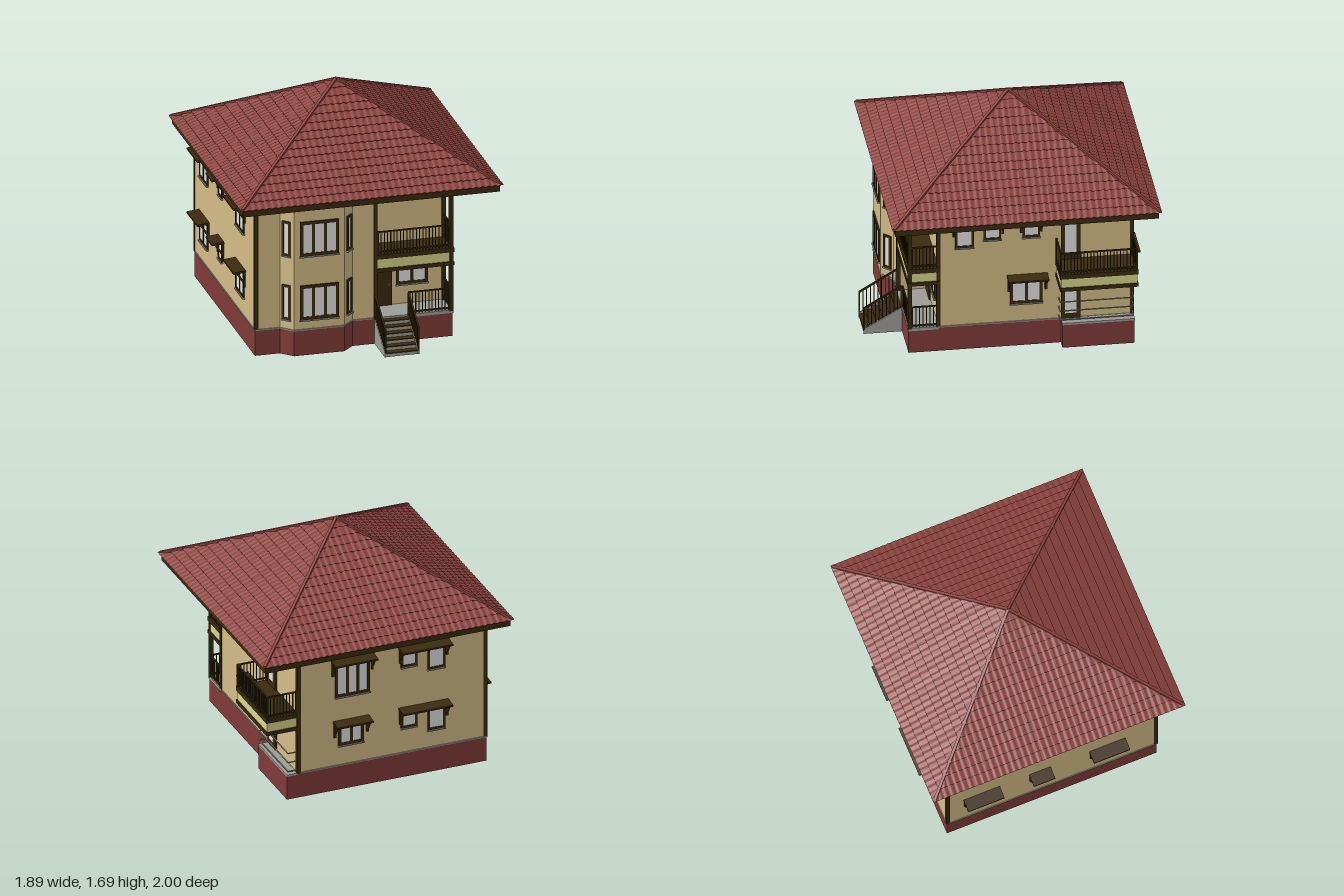
import * as THREE from 'three';
import { toCreasedNormals } from 'three/addons/utils/BufferGeometryUtils.js';

const mat = (name, color, side = THREE.FrontSide) => {
  const m = new THREE.MeshStandardMaterial({ color, side });
  m.name = name;
  return m;
};

export function createModel() {
  const root = new THREE.Group();
  root.name = 'house';
  const tan = mat('tanPlaster', 0xd5bd87);
  const red = mat('redBase', 0x803b37);
  const tile = mat('roofTile', 0x8a413c, THREE.DoubleSide);
  const brown = mat('darkWood', 0x3b2a10);
  const yellow = mat('yellowBand', 0xd8d48a);
  const grey = mat('greyStone', 0x9e9e98);
  const glass = mat('paleGlass', 0xe2e2e2);

  const add = (parent, name, geo, m) => {
    const mesh = new THREE.Mesh(geo, m);
    mesh.name = name;
    parent.add(mesh);
    return mesh;
  };
  // box given by its limits
  const box = (parent, name, m, x0, x1, y0, y1, z0, z1) => {
    const b = add(parent, name, new THREE.BoxGeometry(x1 - x0, y1 - y0, z1 - z0), m);
    b.position.set((x0 + x1) / 2, (y0 + y1) / 2, (z0 + z1) / 2);
    return b;
  };
  // square bar between two points of the parent's space
  const bar = (parent, name, m, a, b, w) => {
    const p = new THREE.Vector3(...a), q = new THREE.Vector3(...b);
    const s = add(parent, name, new THREE.BoxGeometry(w, w, p.distanceTo(q)), m);
    s.position.copy(p).lerp(q, 0.5);
    s.quaternion.setFromRotationMatrix(new THREE.Matrix4().lookAt(q, p, s.up));
    return s;
  };
  // plan outline [x, z] raised from y0 to y1
  const slab = (name, m, pts, y0, y1, hole, grow = 0) => {
    const v = p => p.map(([x, z]) => new THREE.Vector2(x, -z)).reverse();
    const shape = new THREE.Shape(v(pts));
    if (hole) shape.holes.push(new THREE.Path(v(hole)));
    const geo = new THREE.ExtrudeGeometry(shape, {
      depth: y1 - y0, bevelEnabled: grow > 0, bevelSize: grow, bevelThickness: 0.001, bevelSegments: 1,
    });
    geo.rotateX(-Math.PI / 2);
    geo.translate(0, y0, 0);
    return add(root, name, geo, m);
  };

  // walls with front bay and recessed porch corner
  const bay = [[-0.1, 0.73], [-0.18, 0.81], [-0.54, 0.81], [-0.62, 0.73], [-0.8, 0.73]];
  const plan = [[-0.8, -0.84], [0.62, -0.84], [0.62, 0.52], [0.07, 0.52], [0.07, 0.73], ...bay];
  slab('walls', tan, plan, 0.185, 1.1);
  slab('plinthTrim', grey, plan, 0.186, 0.194, null, 0.006);

  // hollow foundation with inner walls
  slab('foundation', red,
    [[-0.8, -0.84], [0.7, -0.84], [0.7, -0.335], [0.62, -0.335], [0.62, 0.73], ...bay], 0, 0.185,
    [[-0.77, -0.81], [0.67, -0.81], [0.67, -0.365], [0.59, -0.365], [0.59, 0.7], [-0.11, 0.7],
      [-0.19, 0.78], [-0.53, 0.78], [-0.61, 0.7], [-0.77, 0.7]]);
  [[0.05, 0.6, 0.5, 0.53], [0.05, 0.08, 0.5, 0.72], [-0.76, -0.05, 0.0, 0.03],
    [-0.15, -0.12, -0.82, -0.28], [-0.42, -0.39, -0.45, 0.01], [-0.42, -0.14, -0.48, -0.45]]
    .forEach(([a, b, c, d]) => box(root, 'foundationInnerWall', red, a, b, 0, 0.184, c, d));
  box(root, 'cellarSlab', grey, 0.0, 0.6, 0.178, 0.186, -0.8, -0.35);
  box(root, 'frontPorchFloor', grey, 0.07, 0.625, 0.172, 0.195, 0.52, 0.735);
  box(root, 'sidePorchFloor', grey, 0.62, 0.702, 0.178, 0.193, -0.842, -0.333);

  // corner posts
  [[-0.79, 0.722], [-0.79, -0.832], [0.612, -0.832], [0.612, 0.52], [0.612, 0.722], [0.065, 0.722]]
    .forEach(([x, z]) => box(root, 'cornerPost', brown, x - 0.014, x + 0.014, 0.187, 1.1, z - 0.014, z + 0.014));

  // group on a wall, local +z pointing outwards
  const onWall = (name, x, z, turn) => {
    const g = new THREE.Group();
    g.name = name;
    g.position.set(x, 0, z);
    g.rotation.y = turn;
    root.add(g);
    return g;
  };
  const FRONT = 0, RIGHT = Math.PI / 2, BACK = Math.PI, LEFT = -Math.PI / 2;

  const windowAt = (x, z, turn, w, y0, y1, panes, f = 0.016) => {
    const g = onWall('window', x, z, turn), h = w / 2;
    box(g, 'glass', glass, -h + f / 2, h - f / 2, y0 + f / 2, y1 - f / 2, 0, 0.006);
    for (let i = 0; i <= panes; i++) {
      const c = -h + f / 2 + (w - f) * i / panes;
      box(g, 'frameUpright', brown, c - f / 2, c + f / 2, y0, y1, -0.002, 0.011);
    }
    for (const y of [y0, y1 - f]) box(g, 'frameRail', brown, -h, h, y, y + f, -0.002, 0.0105);
    box(g, 'sill', grey, -h - 0.003, h + 0.003, y0 - 0.009, y0, 0, 0.018);
  };
  const doorAt = (x, z, turn, w, y0, y1, glazed) => {
    const g = onWall('door', x, z, turn);
    box(g, 'doorPanel', brown, -w / 2, w / 2, y0, y1, 0, 0.012);
    if (glazed) box(g, 'doorGlass', glass, -w * 0.3, w * 0.3, y0 + 0.045, y1 - 0.035, 0.01, 0.016);
    else box(g, 'doorHandle', grey, w * 0.34, w * 0.38, y0 + 0.15, y0 + 0.17, 0.01, 0.02);
  };
  // small canopy on two brackets, top edge at y
  const awning = (x, z, turn, w, y) => {
    const g = onWall('awning', x, z, turn);
    const board = box(g, 'awningBoard', brown, -w / 2, w / 2, y - 0.018, y - 0.004, 0, 0.09);
    board.rotation.x = 0.1;
    for (const s of [-1, 1]) {
      const bx = s * (w / 2 - 0.012);
      box(g, 'bracketPost', brown, bx - 0.008, bx + 0.008, y - 0.125, y - 0.01, 0, 0.014);
      bar(g, 'bracketStrut', brown, [bx, y - 0.1, 0.008], [bx, y - 0.018, 0.06], 0.014);
    }
  };

  // bay windows on both floors
  for (const y of [0.265, 0.738]) {
    windowAt(-0.36, 0.81, FRONT, 0.28, y, y + 0.255, 3, 0.022);
    windowAt(-0.583, 0.767, -Math.PI / 4, 0.066, y, y + 0.255, 1);
    windowAt(-0.137, 0.767, Math.PI / 4, 0.066, y, y + 0.255, 1);
  }
  // porch openings
  windowAt(0.385, 0.52, FRONT, 0.23, 0.34, 0.52, 2, 0.02);
  doorAt(0.16, 0.52, FRONT, 0.16, 0.19, 0.525, false);
  doorAt(0.07, 0.6, RIGHT, 0.135, 0.65, 0.99, false);
  // right side
  windowAt(0.62, 0.34, RIGHT, 0.13, 0.805, 0.995, 1);
  windowAt(0.62, 0.145, RIGHT, 0.123, 0.853, 0.995, 1);
  awning(0.62, 0.243, RIGHT, 0.365, 1.02);
  windowAt(0.62, -0.128, RIGHT, 0.123, 0.853, 0.995, 1);
  awning(0.62, -0.128, RIGHT, 0.165, 1.02);
  windowAt(0.62, -0.093, RIGHT, 0.226, 0.335, 0.525, 2, 0.02);
  awning(0.62, -0.1, RIGHT, 0.285, 0.56);
  doorAt(0.62, -0.403, RIGHT, 0.135, 0.66, 0.99, true);
  doorAt(0.62, -0.403, RIGHT, 0.135, 0.19, 0.53, true);
  // back
  windowAt(0.21, -0.84, BACK, 0.26, 0.725, 0.995, 3, 0.02);
  awning(0.21, -0.84, BACK, 0.32, 1.02);
  windowAt(0.22, -0.84, BACK, 0.19, 0.345, 0.52, 2, 0.02);
  awning(0.22, -0.84, BACK, 0.27, 0.54);
  for (const d of [0, -0.475]) {
    windowAt(-0.215, -0.84, BACK, 0.12, d + 0.86, d + 0.995, 1);
    windowAt(-0.42, -0.84, BACK, 0.13, d + 0.805, d + 0.995, 1);
    awning(-0.325, -0.84, BACK, 0.375, d + 1.02);
    // left side
    for (const [z, w, lift, panes] of [[-0.58, 0.21, 0, 2], [-0.145, 0.1, 0.05, 1], [0.36, 0.21, 0, 2]]) {
      windowAt(-0.8, z, LEFT, w, d + 0.805 + lift, d + 0.995, panes);
      awning(-0.8, z, LEFT, w + 0.06, d + 1.02);
    }
  }

  // baluster railing between two plan points
  const railing = (a, b, y0, y1) => {
    const g = new THREE.Group();
    g.name = 'railing';
    root.add(g);
    const n = Math.round(Math.hypot(b[0] - a[0], b[1] - a[1]) / 0.023);
    for (let i = 0; i <= n; i++) {
      const x = a[0] + (b[0] - a[0]) * i / n, z = a[1] + (b[1] - a[1]) * i / n;
      const r = i % n ? 0.003 : 0.006;
      box(g, 'baluster', brown, x - r, x + r, y0, y1, z - r, z + r);
    }
    for (const y of [y0 + 0.02, y1 - 0.005]) bar(g, 'handrail', brown, [a[0], y, a[1]], [b[0], y, b[1]], 0.01);
  };
  // balconies: yellow band between two wooden edges
  const balcony = (x0, x1, z0, z1) => {
    box(root, 'balconyFloor', brown, x0, x1, 0.625, 0.66, z0, z1);
    box(root, 'balconyBand', yellow, x0, x1 - 0.008, 0.535, 0.63, z0 + 0.008, z1 - 0.008);
    box(root, 'balconyUnderEdge', brown, x1 - 0.03, x1, 0.528, 0.555, z0, z1);
    for (const z of [z0, z1 - 0.03]) box(root, 'balconyUnderEdge', brown, x0, x1 - 0.03, 0.528, 0.555, z, z + 0.03);
  };
  balcony(0.075, 0.63, 0.515, 0.738);
  railing([0.085, 0.725], [0.615, 0.725], 0.66, 0.83);
  railing([0.615, 0.725], [0.615, 0.53], 0.66, 0.83);
  balcony(0.61, 0.855, -0.845, -0.297);
  railing([0.63, -0.305], [0.845, -0.305], 0.66, 0.83);
  railing([0.845, -0.305], [0.845, -0.835], 0.66, 0.83);
  railing([0.845, -0.835], [0.63, -0.835], 0.66, 0.83);
  // front porch railing
  railing([0.31, 0.725], [0.615, 0.725], 0.19, 0.36);
  railing([0.615, 0.725], [0.615, 0.53], 0.19, 0.36);

  // side porch pipe rails
  for (const y of [0.215, 0.285, 0.355]) {
    bar(root, 'pipeRail', grey, [0.69, y, -0.32], [0.69, y, -0.835], 0.007);
    for (const z of [-0.32, -0.835]) bar(root, 'pipeRail', grey, [0.62, y, z], [0.69, y, z], 0.007);
  }

  // front steps with solid cheeks and sloped rails
  const N = 6;
  for (let i = 0; i < N; i++) {
    const z1 = 1 - i * 0.265 / N, y = 0.03 * (i + 1);
    box(root, 'riser', grey, 0.07, 0.3, y - 0.03, y - 0.008, z1 - 0.012, z1 - 0.004);
    box(root, 'tread', brown, 0.07, 0.3, y - 0.008, y, z1 - 0.05, z1);
  }
  const underside = box(root, 'stairUnderside', brown, 0.07, 0.3, 0.058, 0.064, 0.735, 0.965);
  underside.rotation.x = 0.53;
  const cheek = new THREE.Shape([[0.73, 0], [1, 0], [1, 0.035], [0.73, 0.188]].map(p => new THREE.Vector2(...p)));
  for (const x of [0.065, 0.302]) {
    const geo = new THREE.ExtrudeGeometry(cheek, { depth: 0.012, bevelEnabled: false });
    geo.rotateY(-Math.PI / 2);
    geo.translate(x + 0.006, 0, 0);
    add(root, 'stairCheek', geo, grey);
    bar(root, 'stairHandrail', brown, [x, 0.355, 0.735], [x, 0.198, 0.997], 0.012);
    for (let i = 0; i <= 10; i++) {
      const k = i / 10, z = 0.735 + 0.26 * k, r = i % 10 ? 0.003 : 0.006;
      box(root, 'stairBaluster', brown, x - r, x + r, 0.18 - 0.15 * k, 0.355 - 0.157 * k, z - r, z + r);
    }
  }

  // eaves
  const CZ = -0.055;
  box(root, 'fascia', brown, -0.922, 0.922, 1.094, 1.14, CZ - 0.922, CZ + 0.922);
  box(root, 'soffit', tan, -0.905, 0.905, 1.089, 1.096, CZ - 0.905, CZ + 0.905);

  // one tiled slope: overlapping courses, undercut at the lip, with ribs running downhill
  const H = 0.93, ROWS = 15, COLS = 240, STEP = 0.014, LIP = 0.014, pos = [];
  const point = (x, t, lift) => {
    const d = H * (1 - t), cx = Math.max(-d, Math.min(d, x));
    const rib = 0.0035 * Math.cos(cx / H * Math.PI * 40) * Math.min(1, 8 * (1 - t));
    return [cx, 1.142 + 0.535 * t + lift + rib, d];
  };
  const quad = (a, b, c, d) => pos.push(...a, ...b, ...c, ...a, ...c, ...d);
  const W = H * (1 + LIP);
  for (let r = 0; r < ROWS; r++) {
    const t0 = r / ROWS, t1 = (r + 1) / ROWS, lip = t0 - LIP, d0 = H * (1 - lip);
    for (let i = 0; i < COLS; i++) {
      const x0 = -W + 2 * W * i / COLS, x1 = x0 + 2 * W / COLS;
      if (x1 <= -d0 || x0 >= d0) continue;
      const a = point(x0, lip, STEP), b = point(x1, lip, STEP);
      quad(a, b, point(x1, t1, 0), point(x0, t1, 0));
      quad(point(x0, t0, -0.002), point(x1, t0, -0.002), b, a);
    }
  }
  const raw = new THREE.BufferGeometry();
  raw.setAttribute('position', new THREE.Float32BufferAttribute(pos, 3));
  const slope = toCreasedNormals(raw, 0.7);
  const roof = new THREE.Group();
  roof.name = 'roof';
  roof.position.z = CZ;
  root.add(roof);
  for (let k = 0; k < 4; k++) {
    const side = new THREE.Group();
    side.name = 'roofSide';
    side.rotation.y = k * Math.PI / 2;
    roof.add(side);
    add(side, 'tiledSlope', slope, tile);
    bar(side, 'hipRidge', tile, [H, 1.15, H], [0, 1.683, 0], 0.02);
  }
  return root;
}
